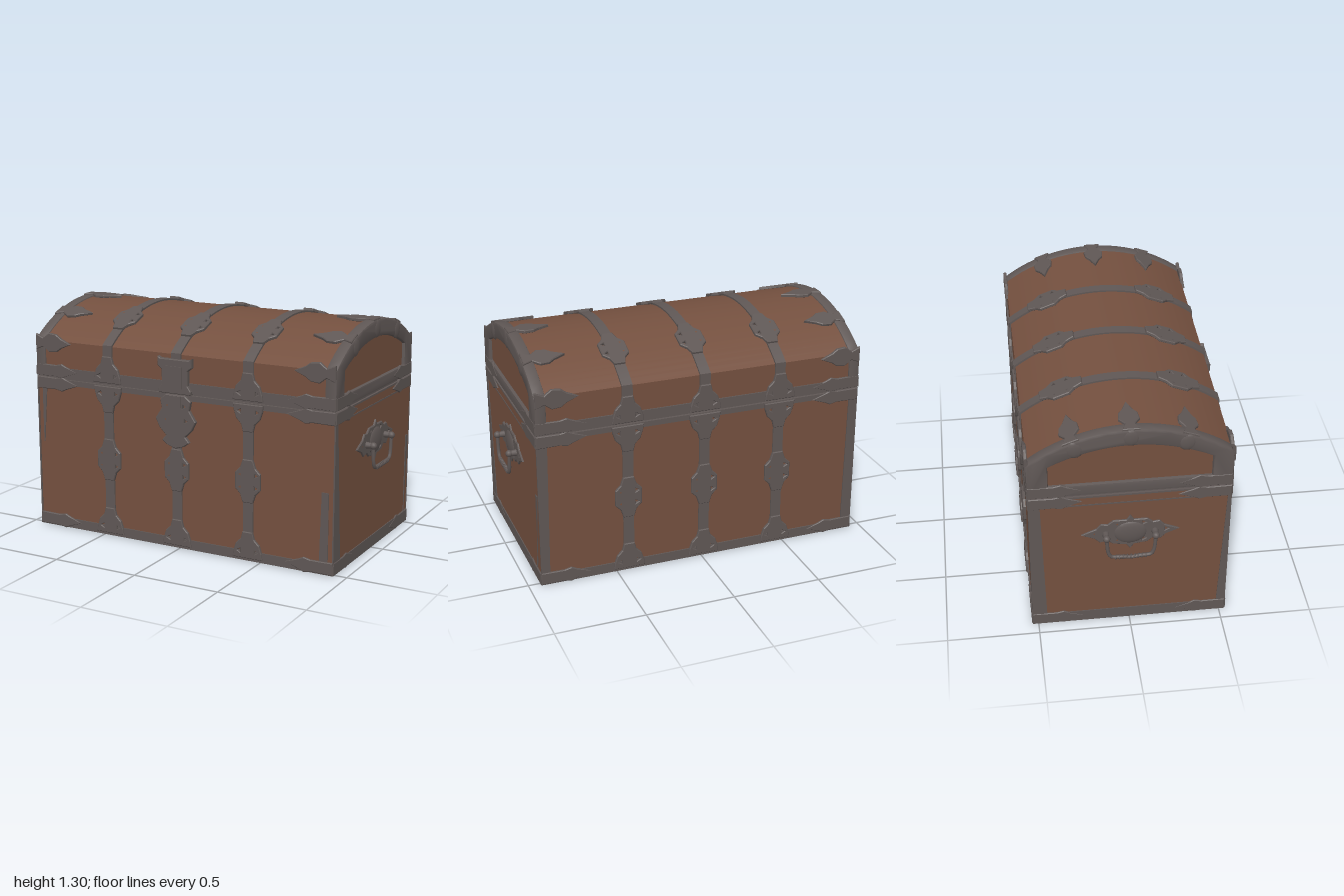
import * as THREE from 'three';
import { toCreasedNormals } from 'three/addons/utils/BufferGeometryUtils.js';

const wood = new THREE.MeshStandardMaterial({ color: 0x74503f });
wood.name = 'brown wood';
const iron = new THREE.MeshStandardMaterial({ color: 0x5f5755 });
iron.name = 'dark iron';

const ARC_R = 0.87, ARC_Y = 0.41, ARC_A = 0.655; // curve of the lid
const HALF = Math.PI / 2;
const STRAPS = [-0.45, -0.01, 0.43];

// half outlines [half width, y], mirrored across x = 0
const MEDALLION = [[0.03, 0.12], [0.045, 0.075], [0.075, 0.045], [0.075, -0.045], [0.045, -0.075], [0.03, -0.12]];
const FLARE = [[0.09, 0], [0.085, 0.035], [0.07, 0.08], [0.04, 0.11], [0.03, 0.15]];
const LEAF = [[0.045, 0], [0.025, 0.05], [0.055, 0.09], [0.05, 0.14], [0.028, 0.17], [0, 0.235]];
const CORNER = [[0.035, 0], [0.033, 0.13], [0.042, 0.17], [0.028, 0.2], [0, 0.28]];
const HANDLE = [[0, 0.115], [0.02, 0.085], [0.09, 0.085], [0.12, 0.06], [0.155, 0.065], [0.18, 0.035], [0.26, 0],
  [0.19, -0.03], [0.16, -0.06], [0.12, -0.05], [0.09, -0.075], [0.02, -0.085], [0, -0.115]];
const HASP = [[0.09, 0.19], [0.105, 0.2], [0.105, 0.15], [0.08, 0.13], [0.08, 0.05], [0.1, 0.02], [0.1, 0]];
const LOCK = [[0.06, 0.3], [0.095, 0.27], [0.085, 0.22], [0.125, 0.16], [0.1, 0.11], [0.06, 0.07], [0.085, 0.04], [0.05, 0.015], [0, 0]];

export function createModel() {
  const chest = new THREE.Group();
  chest.name = 'chest';

  function add(name, geo, mat, pos = [0, 0, 0], rot = [0, 0, 0], parent = chest) {
    const m = new THREE.Mesh(geo, mat);
    m.name = name;
    m.position.set(...pos);
    m.rotation.set(...rot);
    parent.add(m);
    return m;
  }
  const box = (name, mat, w, h, d, x, y, z) => add(name, new THREE.BoxGeometry(w, h, d), mat, [x, y, z]);

  // thin bevelled plate facing +z, its back sunk a little below the surface
  function plateGeo(half, holes = [], t = 0.01) {
    const other = half.filter(p => p[0] > 0).reverse().map(([x, y]) => [-x, y]);
    const shape = new THREE.Shape([...half, ...other].map(p => new THREE.Vector2(...p)));
    for (const [hx, hy] of holes) for (const s of [-1, 1]) {
      const tri = [0, 1, 2].map(i => new THREE.Vector2(
        s * hx + 0.014 * Math.cos(i * 2.094 + (s > 0 ? 0 : Math.PI)), hy + 0.014 * Math.sin(i * 2.094)));
      shape.holes.push(new THREE.Path(tri));
    }
    return new THREE.ExtrudeGeometry(shape, { depth: t + 0.002, bevelThickness: 0.004, bevelSize: 0.004, bevelOffset: -0.004, bevelSegments: 1 })
      .translate(0, 0, -0.006);
  }

  // lid outline in z and y, grown by d
  function lidPoints(d, bottom) {
    const pts = [[0.53 + d, bottom]];
    for (let i = 0; i <= 28; i++) {
      const a = ARC_A * (1 - i / 14);
      pts.push([(ARC_R + d) * Math.sin(a) + Math.sign(14 - i) * d * 0.39, ARC_Y + (ARC_R + d) * Math.cos(a)]);
    }
    pts.push([-0.53 - d, bottom]);
    return pts.map(p => new THREE.Vector2(...p));
  }
  function lidSlice(name, mat, x, width, d, bottom, hole, bevel = 0) {
    const shape = new THREE.Shape(lidPoints(d - bevel, bottom + bevel));
    if (hole) shape.holes.push(new THREE.Path(hole));
    const geo = new THREE.ExtrudeGeometry(shape, {
      depth: width - 2 * bevel, bevelEnabled: bevel > 0, bevelThickness: bevel, bevelSize: bevel, bevelSegments: 2 });
    geo.translate(0, 0, -width / 2 + bevel).rotateY(HALF);
    return add(name, toCreasedNormals(geo, 0.6), mat, [x, 0, 0]);
  }

  // wooden body and lid
  box('body', wood, 1.86, 0.866, 1.05, 0, 0.439, 0);
  lidSlice('lid', wood, 0, 1.83, -0.004, 0.893);
  box('seam', iron, 1.84, 0.03, 1.03, 0, 0.884, 0);

  // rails along the edges
  for (const s of [-1, 1]) {
    box('bottomRailLong', iron, 1.87, 0.055, 0.03, 0, 0.0275, s * 0.517);
    box('bottomRailShort', iron, 0.03, 0.068, 1.06, s * 0.92, 0.034, 0);
    box('bodyTopRailLong', iron, 1.87, 0.03, 0.03, 0, 0.862, s * 0.515);
    box('bodyTopRailShort', iron, 0.03, 0.01, 1.06, s * 0.917, 0.873, 0);
    box('bodyTrimShort', iron, 0.03, 0.008, 1.05, s * 0.917, 0.821, 0);
    box('lidRailLong', iron, 1.87, 0.055, 0.03, 0, 0.918, s * 0.519);
  }

  // rounded iron rim at each end of the lid
  for (const s of [-1, 1]) {
    const inner = [];
    for (let i = 0; i <= 16; i++) {
      const z = 0.435 * (1 - i / 8);
      inner.push(new THREE.Vector2(z, 1.2 - 0.11 * (z / 0.435) ** 2));
    }
    inner.push(new THREE.Vector2(-0.435, 0.945), new THREE.Vector2(0.435, 0.945));
    lidSlice('lidRim', iron, s * 0.902, 0.066, 0.005, 0.89, inner, 0.012);
  }

  // straps over body and lid with pierced medallions
  const medallion = plateGeo(MEDALLION, [[0.046, 0.035], [0.046, -0.035]]);
  const flare = plateGeo(FLARE, [[0.05, 0.04]]);
  for (const x of STRAPS) {
    lidSlice('lidStrap', iron, x, 0.06, 0.005, 0.893);
    for (const s of [1, -1]) {
      const ry = s > 0 ? 0 : Math.PI, z = s * 0.531;
      const a = s * 0.365;
      box('bodyStrap', iron, 0.06, 0.86, 0.03, x, 0.44, s * 0.518);
      add('strapMedallion', medallion, iron, [x, 0.45, z], [0, ry, 0]);
      add('strapFoot', flare, iron, [x, 0.015, z], [0, ry, 0]);
      add('lidMedallion', medallion, iron,
        [x, ARC_Y + (ARC_R + 0.002) * Math.cos(a), (ARC_R + 0.002) * Math.sin(a)], [a - HALF, 0, 0]);
      if (s > 0 && x === STRAPS[1]) continue;
      add('strapHead', flare, iron, [x, 0.873, z], [0, ry, Math.PI]);
      add('lidStrapFoot', flare, iron, [x, 0.893, s * 0.535], [0, ry, 0]);
    }
  }

  // lock and hasp at the front
  const lockX = STRAPS[1];
  add('lockPlate', plateGeo(LOCK, [[0.06, 0.16], [0.05, 0.24]], 0.016), iron, [lockX, 0.575, 0.531]);
  add('hasp', plateGeo(HASP, [], 0.022), iron, [lockX, 0.883, 0.531]);
  box('haspTongue', iron, 0.1, 0.13, 0.02, lockX, 0.97, 0.548);
  box('lockTongue', iron, 0.07, 0.06, 0.02, lockX, 0.84, 0.543);

  // leaf claws reaching inward from the lid rims
  const leaf = plateGeo(LEAF);
  for (const s of [-1, 1]) {
    for (const a of [-0.355, 0, 0.355]) {
      add('lidLeaf', leaf, iron,
        [s * 0.93, ARC_Y + (ARC_R + 0.002) * Math.cos(a), (ARC_R + 0.002) * Math.sin(a)], [a - HALF, 0, s * HALF]);
      const knob = add('rimKnob', new THREE.SphereGeometry(0.05, 10, 8), iron,
        [s * 0.928, ARC_Y + 0.825 * Math.cos(a), 0.825 * Math.sin(a)]);
      knob.scale.x = 0.25;
    }
    for (const f of [-1, 1]) {
      add('lidSideLeaf', leaf, iron, [s * 0.93, 1.085, f * 0.53], [0, f > 0 ? 0 : Math.PI, s * f * HALF]);
    }
  }

  // corner fittings on all four sides
  const corner = plateGeo(CORNER, [], 0.006);
  for (const s of [-1, 1]) for (const f of [-1, 1]) {
    for (const y of [0.037, 0.85, 0.925]) {
      add('cornerLong', corner, iron, [s * 0.932, y, f * 0.53], [0, f > 0 ? 0 : Math.PI, s * f * HALF]);
      add('cornerShort', corner, iron, [s * 0.931, y, f * 0.53], [0, s * HALF, -s * f * HALF]);
    }
    // flat triangle under each bottom corner
    const tri = new THREE.Shape([[0, 0], [-s * 0.2, 0], [0, -f * 0.17]].map(p => new THREE.Vector2(...p)));
    add('cornerUnder', new THREE.ExtrudeGeometry(tri, { depth: 0.006, bevelEnabled: false }).rotateX(HALF),
      iron, [s * 0.932, 0.0062, f * 0.53]);
  }

  // tapered corner posts: [side, corner, base y, top y, base width, top width]
  function post(rotY, pos, dir, y0, y1, w0, w1) {
    const shape = new THREE.Shape([[0, y0], [dir * w0, y0], [dir * w1, y1], [0, y1]].map(p => new THREE.Vector2(...p)));
    add('cornerPost', new THREE.ExtrudeGeometry(shape, { depth: 0.008, bevelEnabled: false }), iron, pos, [0, rotY, 0]);
  }
  post(HALF, [0.926, 0, 0.531], 1, 0.06, 0.82, 0.09, 0.03);
  post(HALF, [0.926, 0, -0.48], 1, 0.06, 0.53, -0.03, 0.03);
  post(-HALF, [-0.926, 0, -0.531], 1, 0.06, 0.85, 0.08, 0.06);
  post(-HALF, [-0.926, 0, 0.531], -1, 0.06, 0.82, 0.05, 0.02);
  post(Math.PI, [-0.932, 0, -0.523], -1, 0.05, 0.85, 0.06, 0.05);
  post(Math.PI, [0.932, 0, -0.523], 1, 0.05, 0.85, 0.05, 0.06);
  post(0, [0.9, 0, 0.521], -1, 0.05, 0.45, 0.05, 0.04);
  post(0, [-0.9, 0, 0.521], 1, 0.5, 0.82, 0.005, 0.03);

  // handles: pierced plate, boss, two knobs and a swinging bail
  const bailPath = new THREE.CatmullRomCurve3([[-0.13, 0.0], [-0.12, -0.1], [-0.105, -0.125], [-0.05, -0.13],
    [0, -0.137], [0.05, -0.13], [0.105, -0.125], [0.12, -0.1], [0.13, 0]].map(([x, y]) => new THREE.Vector3(x, y, 0.05)));
  for (const s of [-1, 1]) {
    const handle = new THREE.Group();
    handle.name = 'handle';
    handle.position.set(s * 0.93, 0.62, 0);
    handle.rotation.y = s * HALF;
    chest.add(handle);
    add('handlePlate', plateGeo(HANDLE, [[0.19, 0.005], [0.07, 0.06], [0.07, -0.05]]), iron, [0, 0, 0], [0, 0, 0], handle);
    add('handleBoss', new THREE.SphereGeometry(1, 20, 10), iron, [0, 0, 0.004], [0, 0, 0], handle).scale.set(0.09, 0.075, 0.02);
    add('handleBail', new THREE.TubeGeometry(bailPath, 40, 0.01, 8), iron, [0, 0, 0], [0, 0, 0], handle);
    for (const k of [-1, 1]) {
      add('handlePin', new THREE.CylinderGeometry(0.013, 0.02, 0.06, 10), iron, [k * 0.13, 0, 0.03], [HALF, 0, 0], handle);
      add('handleKnob', new THREE.SphereGeometry(0.02, 12, 8), iron, [k * 0.13, 0, 0.05], [0, 0, 0], handle);
    }
    for (let i = -4; i <= 4; i++) {
      add('bailTwist', new THREE.TorusGeometry(0.01, 0.004, 6, 10), iron, [i * 0.02, -0.132, 0.05], [0, HALF - 0.4, 0], handle);
    }
  }
  return chest;
}
